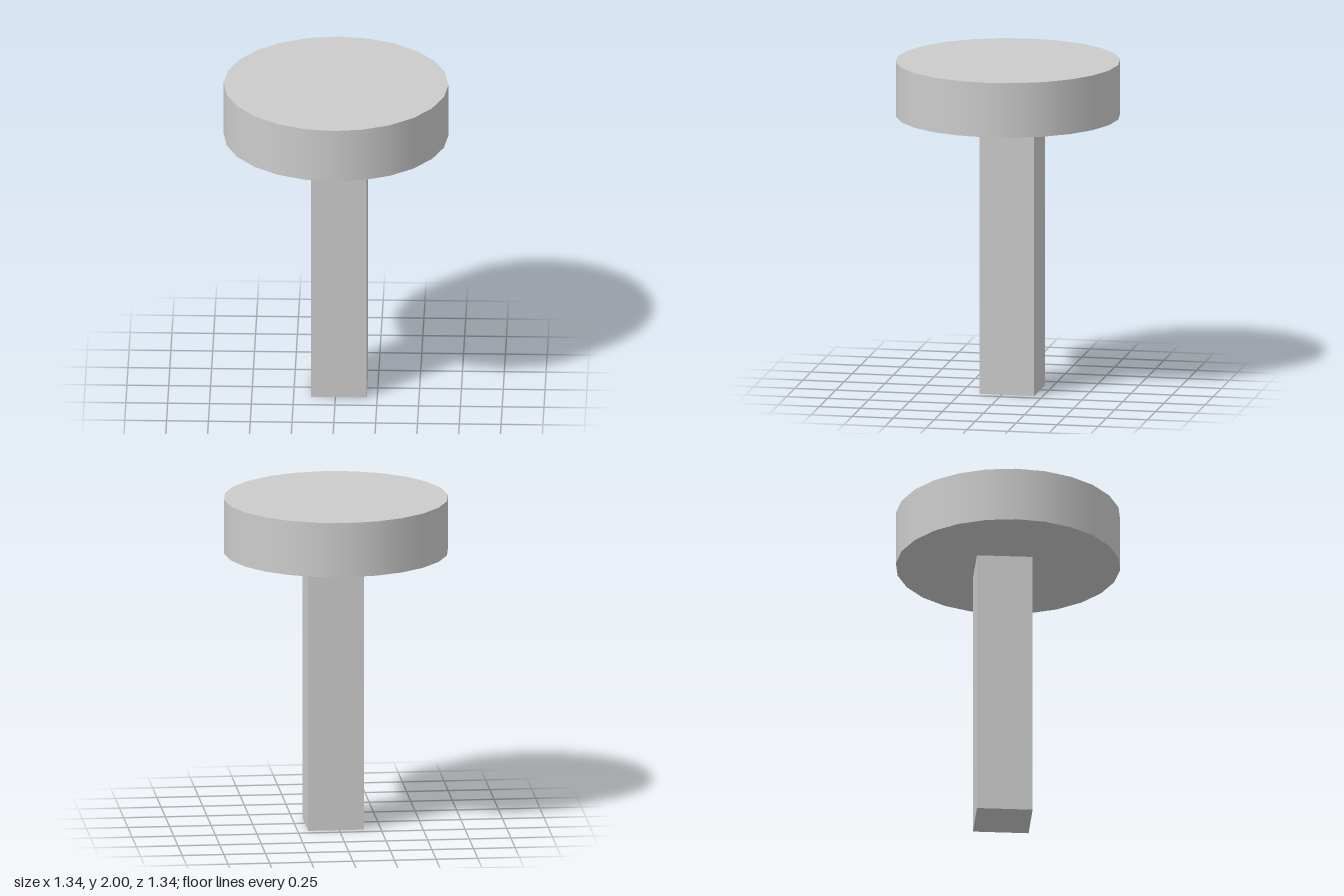
import * as THREE from 'three';

const TOP = 2, HEAD_HEIGHT = 0.333, HEAD_RADIUS = 0.672, POST_WIDTH = 0.334;

export function createModel() {
  const group = new THREE.Group();
  group.name = 'pedestal';
  const material = new THREE.MeshStandardMaterial({ color: 0xcccccc });

  const add = (name, geometry, x, y, z) => {
    const mesh = new THREE.Mesh(geometry, material);
    mesh.name = name;
    mesh.position.set(x, y, z);
    group.add(mesh);
  };

  // Round head: 24 sides, smooth rim, flat caps
  add('head', new THREE.CylinderGeometry(HEAD_RADIUS, HEAD_RADIUS, HEAD_HEIGHT, 24),
    0, TOP - HEAD_HEIGHT / 2, 0);

  // Square post, set slightly off the head's axis
  const postHeight = TOP - HEAD_HEIGHT;
  add('post', new THREE.BoxGeometry(POST_WIDTH, postHeight, POST_WIDTH),
    0.02, postHeight / 2, -0.03);

  return group;
}
